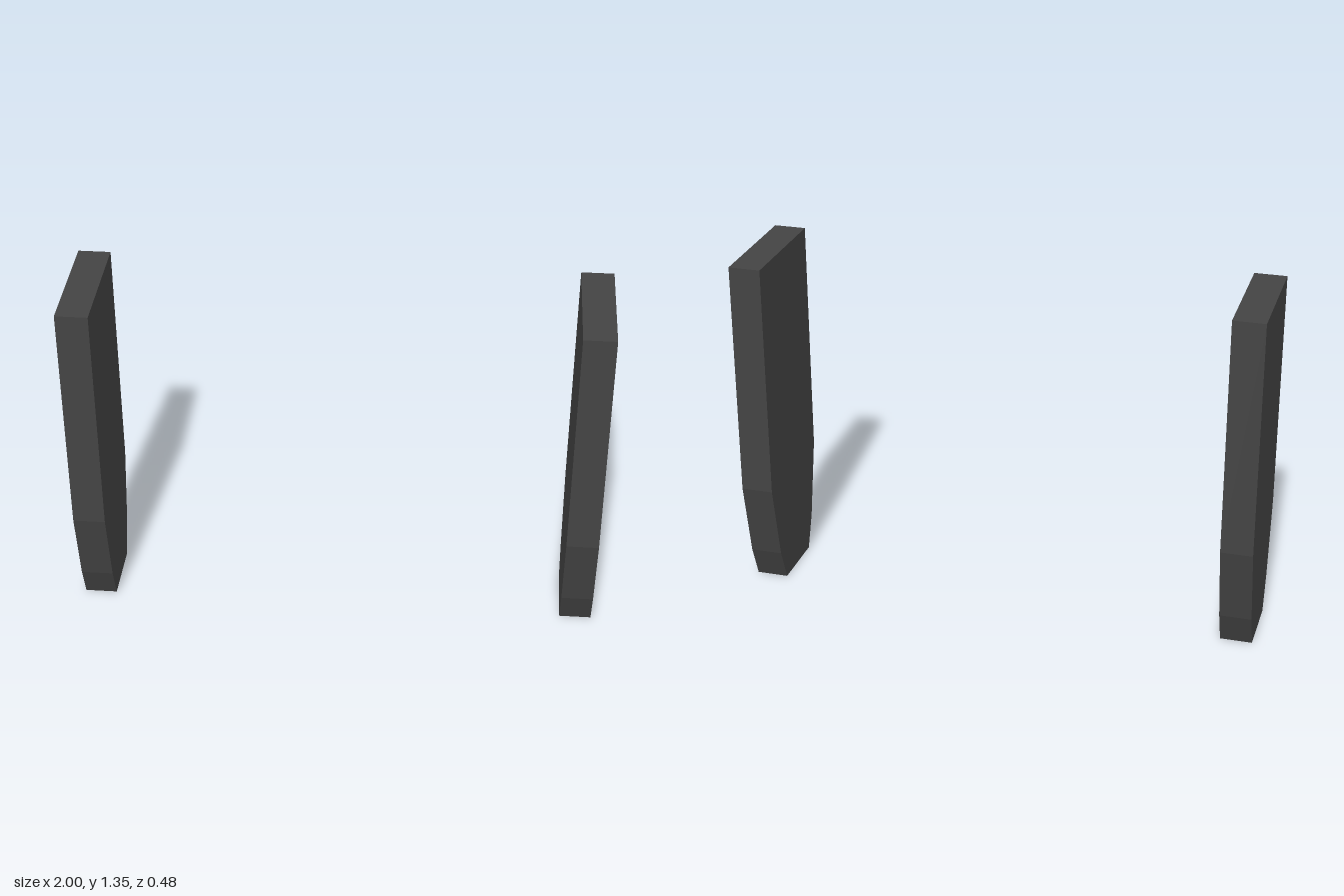
import * as THREE from 'three';

// Half outline of each edge, as [z, y] from the foot upwards
const FRONT_EDGE = [[0.122, 0], [0.17, 0.13], [0.232, 0.43], [0.238, 1.348]];
const BACK_EDGE = [[-0.125, 0], [-0.175, 0.13], [-0.233, 0.43], [-0.234, 1.348]];
const THICKNESS = 0.122;

export function createModel() {
  const model = new THREE.Group();
  model.name = 'panelPair';
  const material = new THREE.MeshStandardMaterial({ color: 0x444444, flatShading: true });

  // Tapered slab outline, drawn with -z along the shape's x axis
  const outline = [...BACK_EDGE, ...[...FRONT_EDGE].reverse()];
  const shape = new THREE.Shape(outline.map(([z, y]) => new THREE.Vector2(-z, y)));
  const slab = new THREE.ExtrudeGeometry(shape, { depth: THICKNESS, bevelEnabled: false });
  slab.rotateY(Math.PI / 2); // thickness along +x, shape x becomes -z

  // Upright panels on both sides, the right one set back very slightly
  for (const [name, x, z] of [['leftPanel', 1 - THICKNESS, 0], ['rightPanel', -1, -0.006]]) {
    const panel = new THREE.Mesh(slab, material);
    panel.name = name;
    panel.position.set(x, 0, z);
    model.add(panel);
  }
  return model;
}
